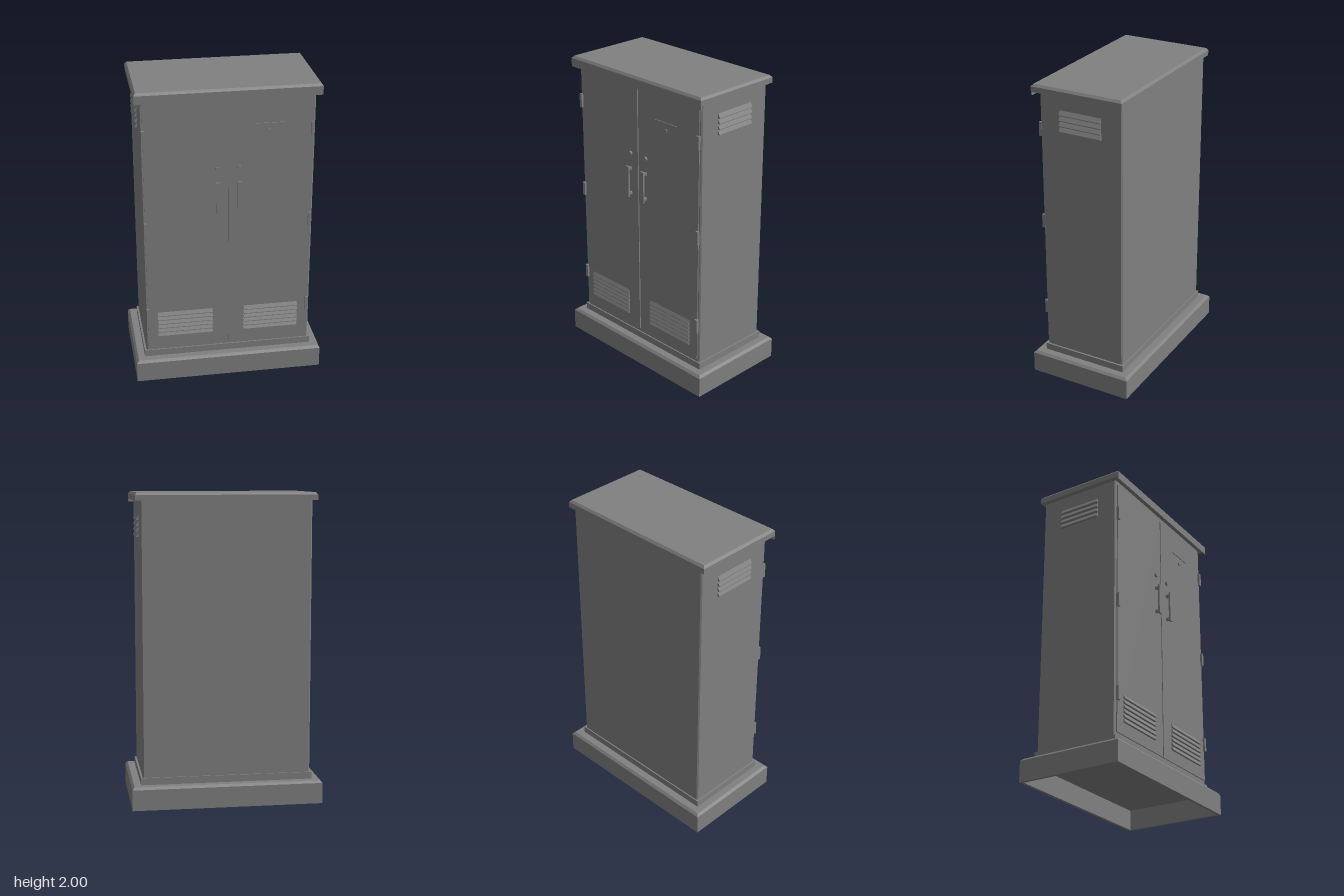
import * as THREE from 'three';

export function createModel() {
  const model = new THREE.Group();
  model.name = 'streetCabinet';
  const gray = new THREE.MeshStandardMaterial({ color: 0x808080 });
  gray.name = 'cabinetGray';

  const add = (name, geo, x = 0, y = 0, z = 0, parent = model) => {
    const m = new THREE.Mesh(geo, gray);
    m.name = name;
    m.position.set(x, y, z);
    parent.add(m);
    return m;
  };
  // Box given by its limits on each axis
  const block = (name, x0, x1, y0, y1, z0, z1, parent = model) =>
    add(name, new THREE.BoxGeometry(x1 - x0, y1 - y0, z1 - z0),
      (x0 + x1) / 2, (y0 + y1) / 2, (z0 + z1) / 2, parent);
  // Low slab whose top is inset all round
  const bevelCap = (name, w, d, y0, y1, inset, z = 0) => {
    const g = new THREE.BoxGeometry(w, y1 - y0, d);
    const p = g.attributes.position;
    for (let i = 0; i < p.count; i++) {
      if (p.getY(i) > 0) {
        p.setX(i, p.getX(i) - Math.sign(p.getX(i)) * inset);
        p.setZ(i, p.getZ(i) - Math.sign(p.getZ(i)) * inset);
      }
    }
    g.computeVertexNormals();
    return add(name, g, 0, (y0 + y1) / 2, z);
  };
  const rect = (Type, w, d, c = 0) => {
    const a = w / 2, b = d / 2;
    const pts = c
      ? [[-a + c, -b], [a - c, -b], [a, -b + c], [a, b - c], [a - c, b], [-a + c, b], [-a, b - c], [-a, -b + c]]
      : [[-a, -b], [a, -b], [a, b], [-a, b]];
    return new Type(pts.map(([x, y]) => new THREE.Vector2(x, y)));
  };
  const upright = (shape, y0, y1) =>
    new THREE.ExtrudeGeometry(shape, { depth: y1 - y0, bevelEnabled: false })
      .rotateX(-Math.PI / 2).translate(0, y0, 0);

  // Plinth, hollow underneath
  const ring = rect(THREE.Shape, 1.23, 0.7);
  ring.holes.push(rect(THREE.Path, 1.19, 0.66));
  add('plinthWalls', upright(ring, 0, 0.135));
  bevelCap('plinthTop', 1.23, 0.7, 0.135, 0.15, 0.015);
  block('footRing', -0.555, 0.555, 0.15, 0.195, -0.288, 0.288);

  // Body with chamfered upright edges
  add('body', upright(rect(THREE.Shape, 1.086, 0.56, 0.008), 0.19, 1.955));

  // Roof with bevelled rim and a drip lip at the front
  block('roof', -0.575, 0.575, 1.95, 1.985, -0.295, 0.323);
  bevelCap('roofTop', 1.15, 0.618, 1.985, 2, 0.013, 0.014);
  block('roofLip', -0.575, 0.575, 1.93, 1.951, 0.315, 0.323);

  // Stack of wedge slats facing +z, lower edge standing out
  const louvre = (name, width, count, pitch, depth) => {
    const g = new THREE.Group();
    g.name = name;
    const s = new THREE.Shape([[0, 0], [depth, 0], [depth, 0.005], [0, pitch * 0.95]]
      .map(([x, y]) => new THREE.Vector2(x, y)));
    const geo = new THREE.ExtrudeGeometry(s, { depth: width, bevelEnabled: false })
      .rotateY(-Math.PI / 2).translate(width / 2, 0, 0);
    for (let i = 0; i < count; i++) add('slat', geo, 0, i * pitch, 0, g);
    model.add(g);
    return g;
  };

  const knob = (name, r, h, x, y) =>
    add(name, new THREE.CylinderGeometry(r, r, h, 20).rotateX(Math.PI / 2), x, y, 0.285 + h / 2);

  for (const s of [-1, 1]) {
    const side = s > 0 ? 'left' : 'right';
    // Door
    add(side + 'Door', new THREE.BoxGeometry(0.524, 1.7, 0.008), s * 0.266, 1.07, 0.283);
    // Hinges
    for (const y of [0.465, 1.085, 1.705]) {
      add(side + 'Hinge', new THREE.BoxGeometry(0.02, 0.09, 0.02), s * 0.525, y, 0.291);
    }
    // Lock and handle
    knob(side + 'Lock', 0.015, 0.015, s * 0.068, 1.47);
    const hx = s * 0.068;
    block(side + 'HandleGrip', hx - 0.014, hx + 0.014, 1.18, 1.39, 0.312, 0.324);
    for (const y of [1.2, 1.37]) {
      block(side + 'HandlePost', hx - 0.01, hx + 0.01, y - 0.008, y + 0.008, 0.284, 0.314);
    }
    // Vents in the door and in the side wall
    louvre(side + 'DoorVent', 0.36, 6, 0.03, 0.014).position.set(s * 0.282, 0.3, 0.286);
    const v = louvre(side + 'SideVent', 0.285, 4, 0.035, 0.016);
    v.position.set(s * 0.542, 1.72, 0.002);
    v.rotation.y = s * Math.PI / 2;
  }

  // Small keyhole with a thin strip above it
  knob('keyhole', 0.012, 0.008, 0.25, 1.705);
  block('rainStrip', 0.155, 0.345, 1.753, 1.757, 0.285, 0.292);

  return model;
}
